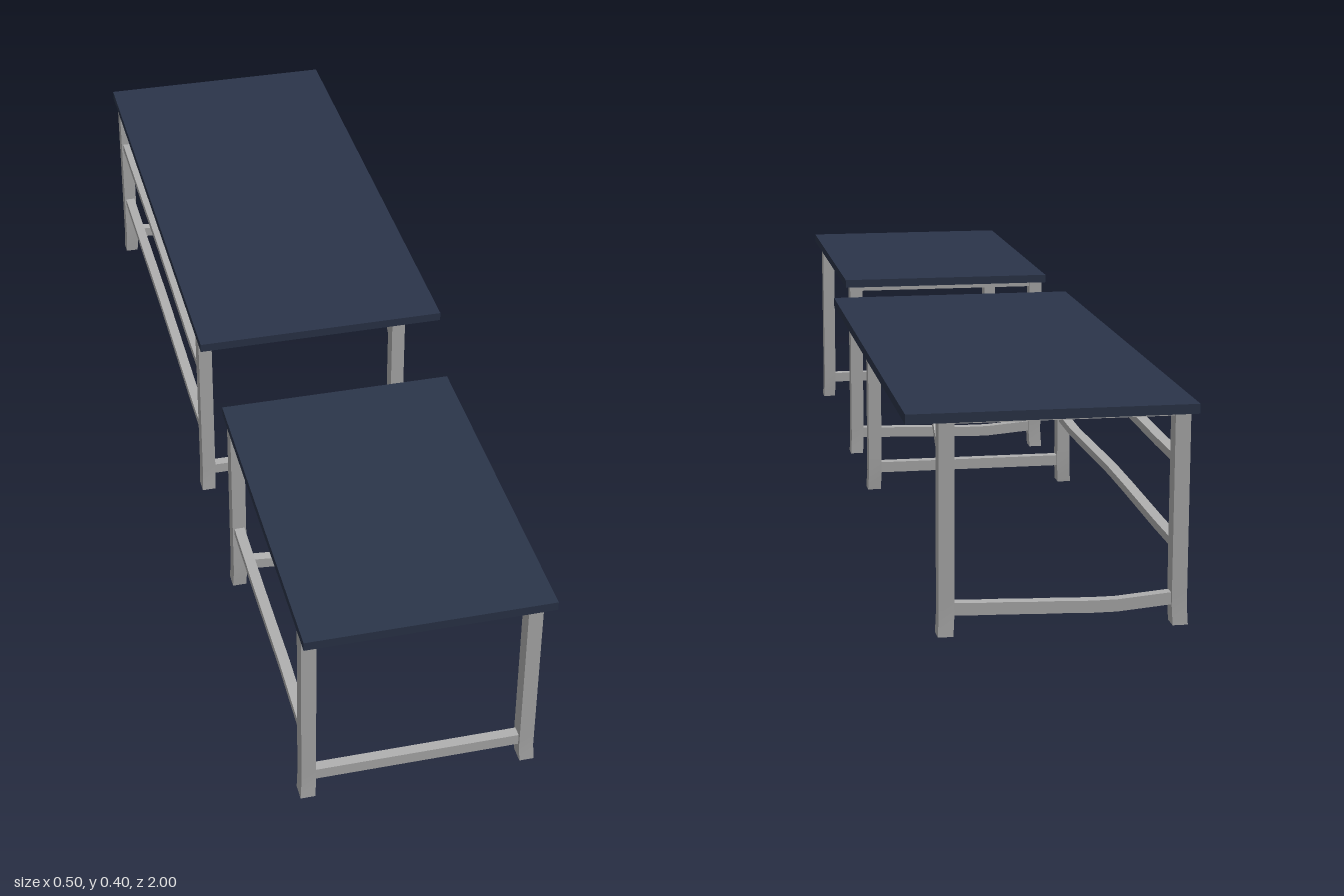
import * as THREE from 'three';

const navy = new THREE.MeshStandardMaterial({ color: 0x2b354a });
navy.name = 'navy top';
const grey = new THREE.MeshStandardMaterial({ color: 0xb0b0b0 });
grey.name = 'grey frame';

const TOP = 0.402, UNDER = 0.385, LEG = 0.027;
const LEFT = -0.2335, RIGHT = 0.1735; // leg centres in x

function addMesh(group, name, geometry, material) {
  const mesh = new THREE.Mesh(geometry, material);
  mesh.name = name;
  group.add(mesh);
  return mesh;
}

function box(group, name, [x0, x1], [y0, y1], [z0, z1], material) {
  const mesh = addMesh(group, name, new THREE.BoxGeometry(x1 - x0, y1 - y0, z1 - z0), material);
  mesh.position.set((x0 + x1) / 2, (y0 + y1) / 2, (z0 + z1) / 2);
}

// Leg whose foot kicks out slightly near the floor
function leg(group, x, z, sx, sz) {
  const g = new THREE.BoxGeometry(LEG, UNDER, 0.032, 1, 11, 1).translate(x, UNDER / 2, z);
  const p = g.attributes.position;
  for (let i = 0; i < p.count; i++) {
    const kick = p.getY(i) < 0.02 ? 0.002 : 0;
    p.setX(i, p.getX(i) + sx * kick);
    p.setZ(i, p.getZ(i) + sz * kick);
  }
  g.computeVertexNormals();
  addMesh(group, 'leg', g, grey);
}

// Rail along x or z, bent up or down by the offsets spread evenly along it
function rail(group, name, axis, from, to, y, height, depth, across, bends) {
  const n = bends.length - 1;
  const g = new THREE.BoxGeometry(to - from, height, depth, n, 1, 1);
  const p = g.attributes.position;
  for (let i = 0; i < p.count; i++) {
    const k = Math.round((p.getX(i) / (to - from) + 0.5) * n);
    p.setY(i, p.getY(i) + bends[k]);
  }
  g.computeVertexNormals();
  if (axis === 'z') g.rotateY(-Math.PI / 2).translate(across, y, (from + to) / 2);
  else g.translate((from + to) / 2, y, across);
  addMesh(group, name, g, grey);
}

// Diagonal brace between a leg and the apron
function brace(group, z, dir) {
  const s = new THREE.Shape();
  s.moveTo(z, 0.287);
  s.lineTo(z + dir * 0.125, UNDER);
  s.lineTo(z + dir * 0.102, UNDER);
  s.lineTo(z, 0.304);
  const g = new THREE.ExtrudeGeometry(s, { depth: 0.016, bevelEnabled: false });
  g.rotateY(-Math.PI / 2).translate(RIGHT + 0.008, 0, 0);
  addMesh(group, 'brace', g, grey);
}

function table(name, topX, topZ, zBack, zFront, sideRails) {
  const t = new THREE.Group();
  t.name = name;
  box(t, 'tableTop', topX, [UNDER, TOP], topZ, navy);
  for (const [x, sx] of [[LEFT, -1], [RIGHT, 1]]) {
    leg(t, x, zBack, sx, -1);
    leg(t, x, zFront, sx, 1);
    // Long aprons under the top
    box(t, 'sideApron', [x - 0.01, x + 0.01], [0.371, UNDER], [zBack + 0.016, zFront - 0.016], grey);
  }
  const x0 = LEFT + LEG / 2, x1 = RIGHT - LEG / 2;
  for (const z of [zBack, zFront])
    box(t, 'endApron', [x0, x1], [0.371, UNDER], [z - 0.01, z + 0.01], grey);
  // Low stretchers at both ends, the back one sagging
  rail(t, 'frontStretcher', 'x', x0, x1, 0.0465, 0.022, 0.02, zFront, [0, 0]);
  rail(t, 'backStretcher', 'x', x0, x1, 0.0465, 0.022, 0.02, zBack,
    [0, -0.004, -0.008, -0.008, -0.006, -0.005, -0.003, -0.002, 0]);
  // Stretchers along the right-hand side
  for (const [y, bends] of sideRails)
    rail(t, 'sideStretcher', 'z', zBack + 0.016, zFront - 0.016, y, 0.015, 0.02, LEFT, bends);
  return t;
}

export function createModel() {
  const model = new THREE.Group();
  model.name = 'tables';

  model.add(table('smallTable', [-0.25, 0.2], [0.312, 1], 0.357, 0.951,
    [[0.14, [0, 0, 0, 0.002, 0.004, 0.007, 0.003, 0]]]));

  const wave = [0, 0, 0.002, 0.004, 0.005, 0.003, 0, -0.003, 0];
  const large = table('largeTable', [-0.25, 0.249], [-1, 0.095], -0.938, 0.036,
    [[0.14, wave], [0.292, wave]]);
  brace(large, 0.02, -1);
  brace(large, -0.922, 1);
  model.add(large);
  return model;
}
